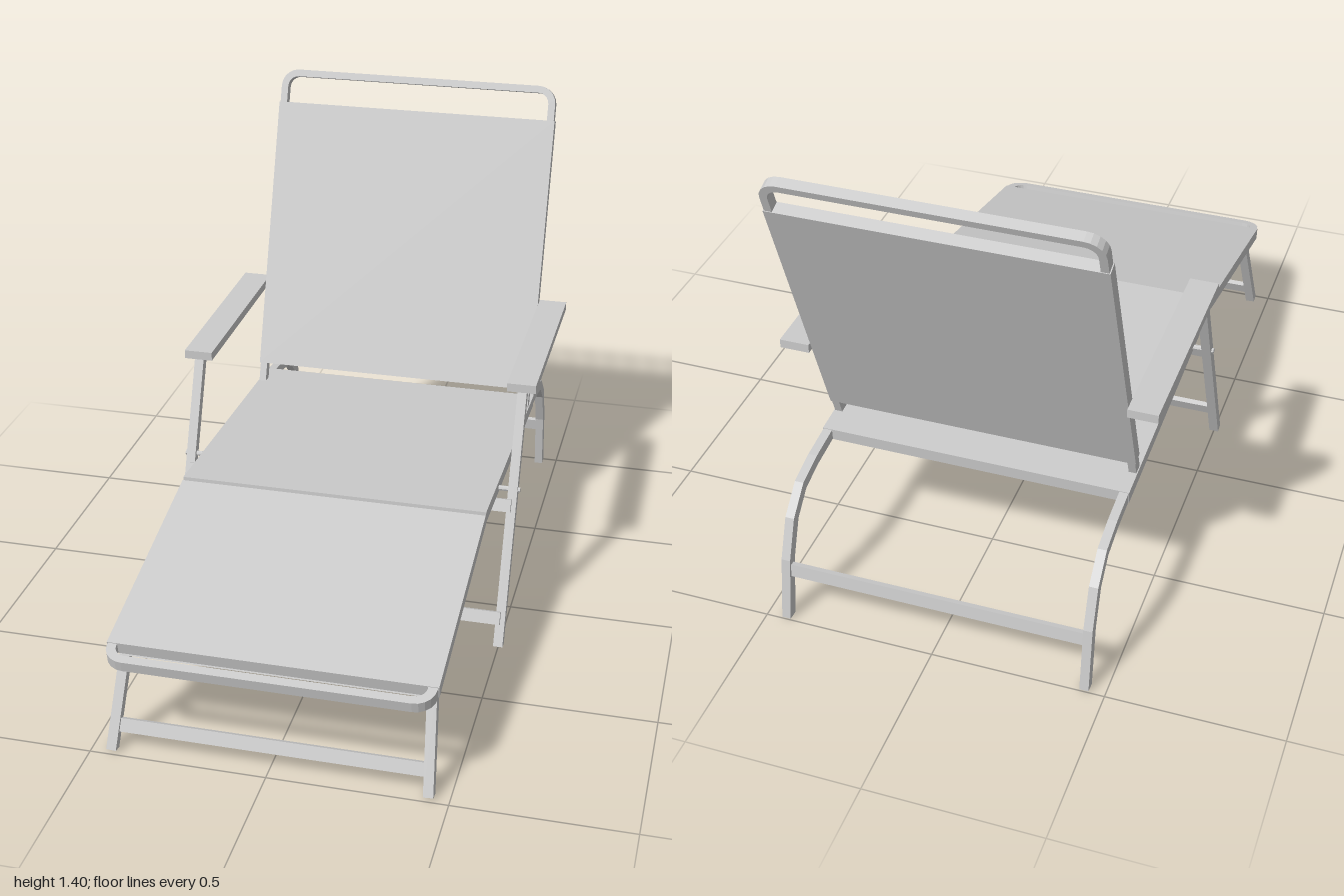
import * as THREE from 'three';

const material = new THREE.MeshStandardMaterial({ color: 0xcccccc, flatShading: true });
const V2 = (x, y) => new THREE.Vector2(x, y);

function add(parent, geometry, name, x = 0, y = 0, z = 0) {
  const mesh = new THREE.Mesh(geometry, material);
  mesh.name = name;
  mesh.position.set(x, y, z);
  parent.add(mesh);
  return mesh;
}

// Flat bar following a 2D path: mitred outline, extruded and centred on z
function strip(path, width, depth, floor = -Infinity) {
  const left = [], right = [];
  path.forEach((p, i) => {
    const a = path[Math.max(i - 1, 0)], b = path[Math.min(i + 1, path.length - 1)];
    const d0 = (i ? p.clone().sub(a) : b.clone().sub(p)).normalize();
    const d1 = (i < path.length - 1 ? b.clone().sub(p) : d0.clone()).normalize();
    const n0 = V2(-d0.y, d0.x), n1 = V2(-d1.y, d1.x);
    const miter = n0.clone().add(n1).normalize();
    miter.multiplyScalar(width / 2 / miter.dot(n0));
    const l = p.clone().add(miter), r = p.clone().sub(miter);
    l.y = Math.max(l.y, floor);
    r.y = Math.max(r.y, floor);
    left.push(l);
    right.unshift(r);
  });
  const geometry = new THREE.ExtrudeGeometry(new THREE.Shape([...left, ...right]), { depth, bevelEnabled: false });
  return geometry.translate(0, 0, -depth / 2);
}

// Path drawn in (z, y), with its thickness along x
const sideStrip = (path, width, depth) => strip(path.map(([z, y]) => V2(z, y)), width, depth, 0).rotateY(-Math.PI / 2);

// Rounded U path, open at the bottom
function uPath(half, start, end, radius) {
  const points = [V2(-half, start)];
  for (const side of [-1, 1]) {
    for (let i = 0; i <= 5; i++) {
      const a = (side < 0 ? Math.PI : Math.PI / 2) - (i / 5) * Math.PI / 2;
      points.push(V2(side * (half - radius) + radius * Math.cos(a), end - radius + radius * Math.sin(a)));
    }
  }
  points.push(V2(half, start));
  return points;
}

// Group whose local y runs from one (z, y) point to another
function incline(parent, name, [z0, y0], [z1, y1]) {
  const group = new THREE.Group();
  group.name = name;
  group.position.set(0, y0, z0);
  group.rotation.x = Math.atan2(z1 - z0, y1 - y0);
  group.userData.length = Math.hypot(z1 - z0, y1 - y0);
  parent.add(group);
  return group;
}

function fabric(group, name, from, to) {
  add(group, new THREE.BoxGeometry(0.912, to - from, 0.036), name, 0, (from + to) / 2, 0);
}

function pivot(parent, name, x, y, z, length) {
  add(parent, new THREE.CylinderGeometry(0.008, 0.008, length, 8).rotateZ(Math.PI / 2), name, x, y, z);
}

export function createModel() {
  const model = new THREE.Group();
  model.name = 'recliningLounger';

  // Backrest: U frame with a wrapped fabric panel
  const back = incline(model, 'backrest', [-0.545, 0.415], [-0.9, 1.393]);
  const backLength = back.userData.length;
  add(back, strip(uPath(0.442, 0, backLength - 0.011, 0.045), 0.022, 0.032), 'backFrame');
  fabric(back, 'backFabric', 0.065, backLength - 0.108);

  // Leg rest: U frame with fabric
  const rest = incline(model, 'legRest', [0.268, 0.449], [0.997, 0.29]);
  const restLength = rest.userData.length;
  add(rest, strip(uPath(0.44, 0.005, restLength - 0.013, 0.045), 0.026, 0.032), 'legRestFrame');
  fabric(rest, 'legRestFabric', 0, restLength - 0.065);

  // Seat fabric
  const seat = incline(model, 'seat', [0.265, 0.455], [-0.645, 0.4]);
  fabric(seat, 'seatFabric', 0, seat.userData.length);

  for (const side of [-1, 1]) {
    // Seat rail bending down into the rear leg
    add(model, sideStrip([[0.26, 0.455], [-0.645, 0.4], [-0.75, 0.389], [-0.84, 0.367],
      [-0.909, 0.302], [-0.953, 0.19], [-0.982, 0]], 0.032, 0.026), 'seatRailAndRearLeg', side * 0.441);

    // Armrest and its slanted support leg
    add(model, new THREE.BoxGeometry(0.086, 0.026, 0.65), 'armrest', side * 0.499, 0.728, -0.368);
    add(model, sideStrip([[-0.073, 0.718], [0.224, 0]], 0.03, 0.028), 'armLeg', side * 0.5);
    pivot(model, 'armLegPivot', side * 0.483, 0.437, 0.043, 0.075);

    // Splayed front leg under the leg rest
    const leg = add(model, sideStrip([[0.845, 0.318], [0.977, 0]], 0.03, 0.028), 'frontLeg', side * 0.443);
    leg.rotation.z = side * 0.06;
    leg.position.y = 0.001;
    pivot(model, 'frontLegPivot', side * 0.43, 0.312, 0.85, 0.05);
  }

  // Crossbars: name, length, y, z, tilt
  const bars = [
    ['armLegUpperBar', 1.0, 0.4, 0.08, -0.39],
    ['armLegLowerBar', 1.0, 0.088, 0.21, -0.39],
    ['frontLegUpperBar', 0.85, 0.272, 0.882, -0.39],
    ['frontLegLowerBar', 0.87, 0.066, 0.948, -0.39],
    ['rearLegBar', 0.87, 0.158, -0.959, 0.16],
  ];
  for (const [name, length, y, z, tilt] of bars) {
    add(model, new THREE.BoxGeometry(length, 0.038, 0.016), name, 0, y, z).rotation.x = tilt;
  }
  return model;
}
